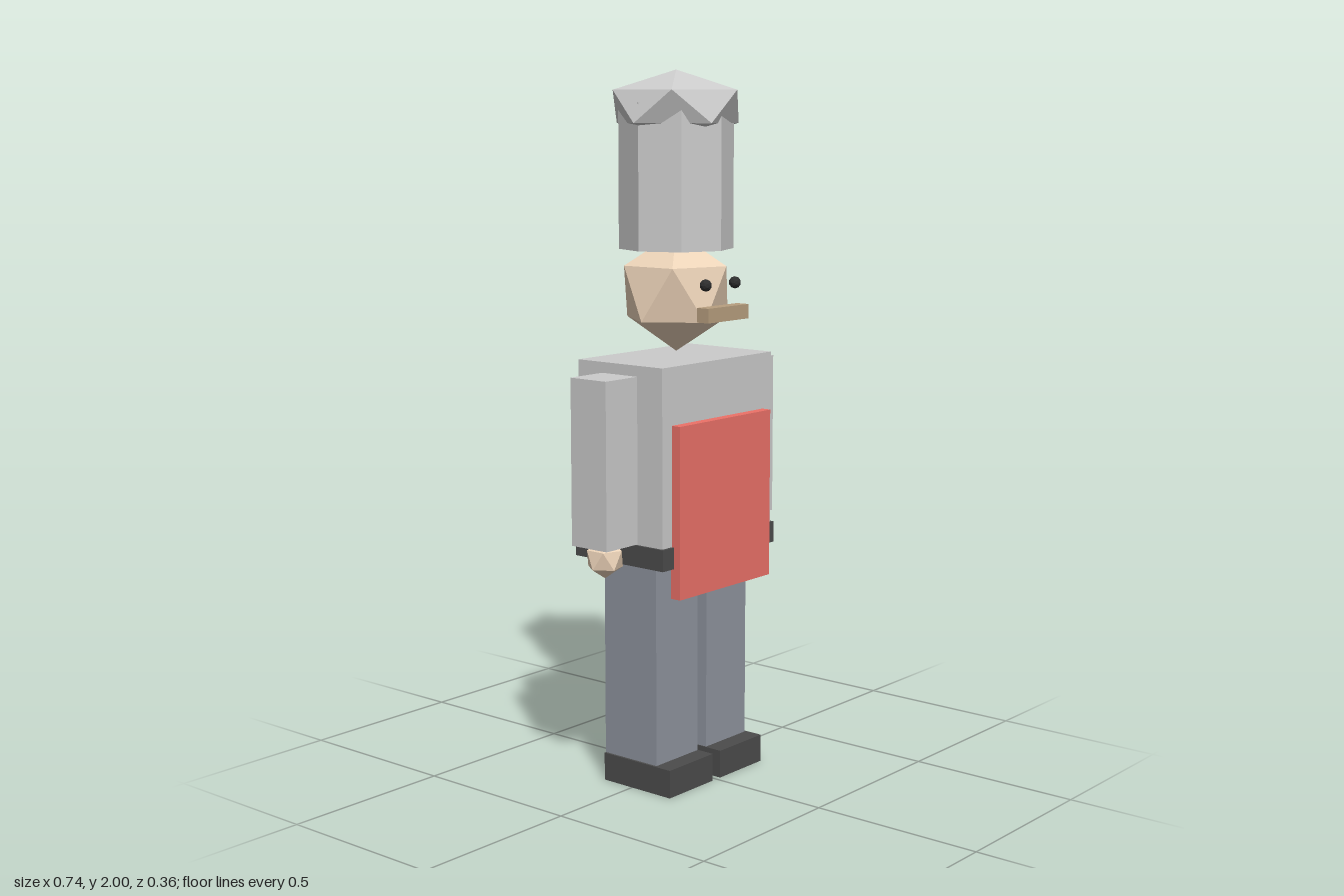
import * as THREE from 'three';

const material = (color) => new THREE.MeshStandardMaterial({ color, flatShading: true });

export function createModel() {
  const cloth = material(0xcccccc);
  const skin = material(0xecd3b8);
  const dark = material(0x4c4c4c);
  const eyeDark = material(0x2e2e2e);
  const trousers = material(0x8f949e);
  const red = material(0xec7168);
  const brown = material(0xb89f7f);

  const model = new THREE.Group();
  // The figure's own axis sits slightly behind the origin
  const axisZ = -0.01;

  const add = (name, geometry, mat, x, y, z) => {
    const mesh = new THREE.Mesh(geometry, mat);
    mesh.name = name;
    mesh.position.set(x, y, z);
    model.add(mesh);
    return mesh;
  };

  // Box given by its centre x and z, its width and depth, and its bottom and top
  const box = (name, mat, x, z, width, depth, bottom, top) =>
    add(name, new THREE.BoxGeometry(width, top - bottom, depth), mat, x, (bottom + top) / 2, z);

  // Icosahedron turned to stand on a corner
  const gem = (radius) =>
    new THREE.IcosahedronGeometry(radius, 0).rotateZ(-Math.atan(2 / (1 + Math.sqrt(5))));

  // Body
  box('torso', cloth, 0, axisZ, 0.48, 0.304, 0.715, 1.21);
  box('belt', dark, 0, axisZ, 0.495, 0.32, 0.655, 0.715);
  box('apron', red, 0, 0.155, 0.4, 0.032, 0.57, 1.05);

  // Limbs
  for (const [side, s] of [['left', 1], ['right', -1]]) {
    box(side + 'Arm', cloth, s * 0.304, axisZ, 0.127, 0.127, 0.717, 1.18);
    add(side + 'Hand', gem(0.056), skin, s * 0.304, 0.68, axisZ);
    box(side + 'Leg', trousers, s * 0.11, axisZ, 0.18, 0.19, 0.08, 0.66);
    box(side + 'Shoe', dark, s * 0.112, 0.018, 0.19, 0.243, 0, 0.08);
    add(side + 'Eye', new THREE.IcosahedronGeometry(0.017, 1), eyeDark, s * 0.064, 1.42, 0.148);
  }

  // Head
  add('head', gem(0.167), skin, 0, 1.39, axisZ);
  box('moustache', brown, 0, 0.157, 0.176, 0.04, 1.32, 1.36);

  // Tall hat with a puffed crown
  const band = new THREE.CylinderGeometry(0.16, 0.16, 0.4, 8);
  add('hatBand', band, cloth, 0, 1.71, axisZ);
  add('hatCrown', gem(0.2).scale(1, 0.5, 1), cloth, 0, 1.9, axisZ);

  return model;
}
